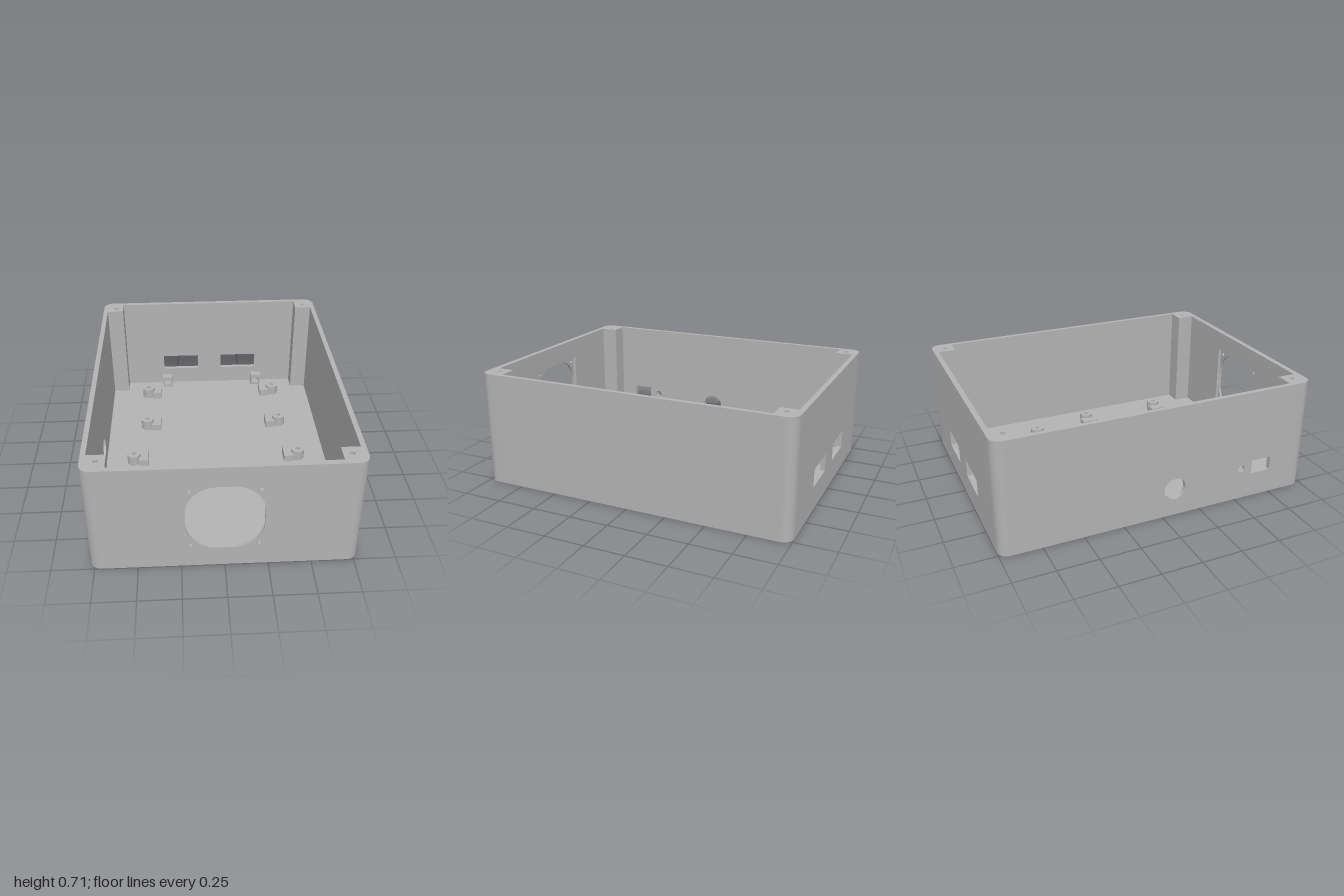
import * as THREE from 'three';
import { toCreasedNormals } from 'three/addons/utils/BufferGeometryUtils.js';

const W = 0.775, L = 1, H = 0.712, FLOOR = 0.03, R = 0.065; // half width, half length, height, floor, corner radius
const POST_X = 0.635, POST_BACK = -0.862, POST_FRONT = 0.855;

// Rounded rectangle (or plain when r = 0) between two corners
function rect(x0, y0, x1, y1, r = 0) {
  const s = new THREE.Shape();
  if (r === 0) {
    s.moveTo(x0, y0).lineTo(x1, y0).lineTo(x1, y1).lineTo(x0, y1).closePath();
    return s;
  }
  s.absarc(x1 - r, y0 + r, r, -Math.PI / 2, 0);
  s.absarc(x1 - r, y1 - r, r, 0, Math.PI / 2);
  s.absarc(x0 + r, y1 - r, r, Math.PI / 2, Math.PI);
  s.absarc(x0 + r, y0 + r, r, Math.PI, Math.PI * 1.5);
  s.closePath();
  return s;
}

function circle(x, y, r) {
  return new THREE.Shape().absarc(x, y, r, 0, Math.PI * 2);
}

function extrude(shape, depth, holes = []) {
  shape.holes.push(...holes);
  const geo = new THREE.ExtrudeGeometry(shape, { depth, bevelEnabled: false, curveSegments: 12 });
  return toCreasedNormals(geo, 0.5);
}

// Extrude a plan outline, given in (x, -z), upward from height y
function extrudeUp(shape, y, depth, holes) {
  return extrude(shape, depth, holes).rotateX(-Math.PI / 2).translate(0, y, 0);
}

export function createModel() {
  const group = new THREE.Group();
  const grey = new THREE.MeshStandardMaterial({ color: 0xb2b2b2 });
  grey.name = 'matte grey';
  const add = (name, geo, parent = group) => {
    const mesh = new THREE.Mesh(geo, grey);
    mesh.name = name;
    parent.add(mesh);
    return mesh;
  };

  add('floor', extrudeUp(rect(-W, -L, W, L, R), 0, FLOOR));

  // Front wall: thin outer skin with the fan opening, inner layer with a square pocket
  const fanScrews = [];
  for (const x of [-0.197, 0.197]) for (const y of [0.16, 0.553]) fanScrews.push(circle(x, y, 0.012));
  add('frontWallSkin', extrude(rect(-POST_X, FLOOR, POST_X, H), 0.015,
    [rect(-0.223, 0.134, 0.223, 0.58, 0.18), ...fanScrews]).translate(0, 0, L - 0.015));
  add('frontWallFanPocket', extrude(rect(-POST_X, FLOOR, POST_X, H), 0.02,
    [rect(-0.225, 0.132, 0.225, 0.582)]).translate(0, 0, L - 0.035));

  // Back wall with two rectangular windows
  add('backWall', extrude(rect(-POST_X, FLOOR, POST_X, H), 0.031,
    [rect(-0.355, 0.155, -0.09, 0.268), rect(0.09, 0.155, 0.355, 0.268)]).translate(0, 0, -L));

  // Side walls, drawn in (-z, y); only the right one has ports
  const sideWall = () => rect(-POST_FRONT, FLOOR, -POST_BACK, H);
  add('leftWall', extrude(sideWall(), 0.03).rotateY(Math.PI / 2).translate(W - 0.03, 0, 0));
  add('rightWall', extrude(sideWall(), 0.03, [
    circle(-0.08, 0.177, 0.07),
    circle(-0.54, 0.207, 0.022),
    rect(-0.745, 0.16, -0.61, 0.25),
  ]).rotateY(Math.PI / 2).translate(-W, 0, 0));

  // Corner posts with a rounded outer edge and a lid screw hole
  for (const sx of [-1, 1]) {
    for (const sz of [-1, 1]) {
      const inner = sz > 0 ? POST_FRONT : -POST_BACK;
      const pts = [[POST_X, inner], [W, inner]];
      for (let i = 0; i <= 8; i++) {
        const a = (i / 8) * Math.PI / 2;
        pts.push([W - R + R * Math.cos(a), L - R + R * Math.sin(a)]);
      }
      pts.push([POST_X, L]);
      const outline = new THREE.Shape(pts.map(([x, z]) => new THREE.Vector2(sx * x, -sz * z)));
      add('cornerPost', extrudeUp(outline, FLOOR, H - FLOOR, [circle(sx * 0.688, -sz * 0.912, 0.014)]));
    }
  }

  // Board standoffs: a bored cylinder with a lower block on its inner side
  const standoffs = [
    [-0.475, -0.783], [0.475, -0.783], [-0.475, -0.36], [0.475, -0.36],
    [-0.557, 0.051], [0.557, 0.051], [-0.557, 0.463], [-0.557, 0.609], [0.557, 0.609],
  ];
  for (const [x, z] of standoffs) {
    const standoff = new THREE.Group();
    standoff.name = 'standoff';
    standoff.position.set(x, FLOOR, z);
    add('standoffCylinder', extrudeUp(circle(0, 0, 0.045), 0, 0.07, [circle(0, 0, 0.015)]), standoff);
    add('standoffBlock', new THREE.BoxGeometry(0.064, 0.05, 0.11)
      .translate(-Math.sign(x) * 0.065, 0.025, 0), standoff);
    group.add(standoff);
  }

  // Small pierced blocks on the floor by the back wall
  for (const x of [-0.33, 0.361]) {
    add('tieBlock', extrude(rect(-0.038, FLOOR, 0.038, 0.115), 0.053, [rect(-0.02, 0.05, 0.02, 0.09)])
      .translate(x, 0, -0.952));
  }
  return group;
}
